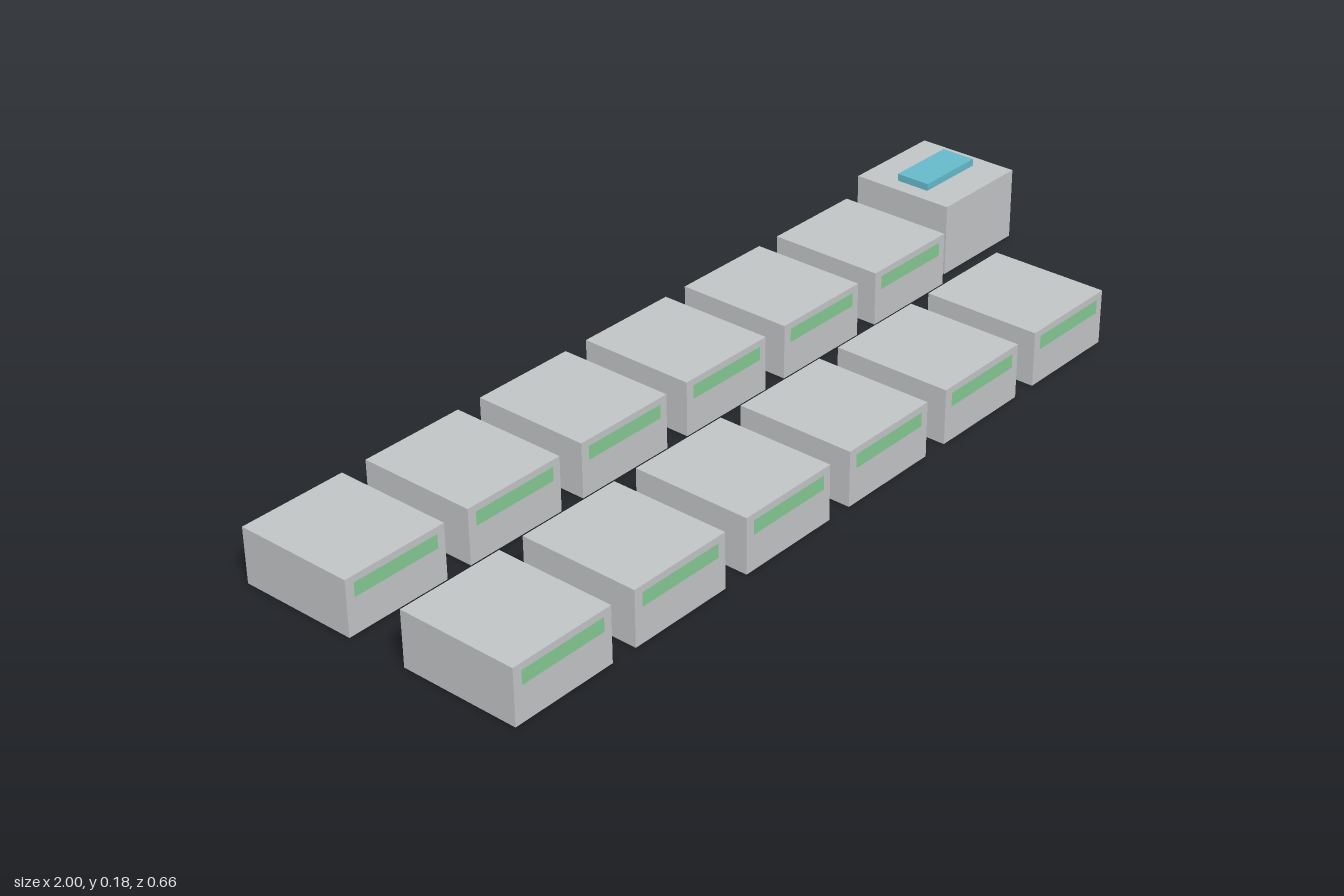
import * as THREE from 'three';

const concrete = new THREE.MeshStandardMaterial({ color: 0xc1c4c5, side: THREE.DoubleSide });
concrete.name = 'light concrete grey';
const green = new THREE.MeshStandardMaterial({ color: 0x84c892 });
green.name = 'soft green';
const teal = new THREE.MeshStandardMaterial({ color: 0x66bacb });
teal.name = 'light teal';

// Box without its underside, standing on y = 0
function shell(w, h, d) {
  const geo = new THREE.BoxGeometry(w, h, d);
  const index = Array.from(geo.index.array);
  index.splice(18, 6); // the -y face
  geo.setIndex(index);
  geo.clearGroups();
  geo.translate(0, h / 2, 0);
  return geo;
}

function add(parent, name, geo, material, x, y, z) {
  const mesh = new THREE.Mesh(geo, material);
  mesh.name = name;
  mesh.position.set(x, y, z);
  parent.add(mesh);
}

export function createModel() {
  const model = new THREE.Group();
  model.name = 'blockRows';

  const width = 0.238, height = 0.12, depth = 0.264, pitch = 0.2965;
  const blockGeo = shell(width, height, depth);
  const stripeGeo = new THREE.PlaneGeometry(0.2, 0.03);

  // Two rows of six low blocks, each with a stripe on its front
  for (const [row, z] of [['front', 0.2], ['back', -0.2]]) {
    for (let i = 0; i < 6; i++) {
      const unit = new THREE.Group();
      unit.name = `${row}Unit${i + 1}`;
      unit.position.set(-1 + width / 2 + i * pitch, 0, z);
      add(unit, 'block', blockGeo, concrete, 0, 0, 0);
      add(unit, 'frontStripe', stripeGeo, green, 0, 0.091, depth / 2 + 0.001);
      model.add(unit);
    }
  }

  // Taller end block with a flat panel on its roof
  const end = new THREE.Group();
  end.name = 'endUnit';
  end.position.set(0.88, 0, -0.212);
  add(end, 'tallBlock', shell(0.24, 0.16, 0.24), concrete, 0, 0, 0);
  add(end, 'roofPanel', new THREE.BoxGeometry(0.166, 0.016, 0.08), teal, 0, 0.168, 0);
  model.add(end);

  return model;
}
